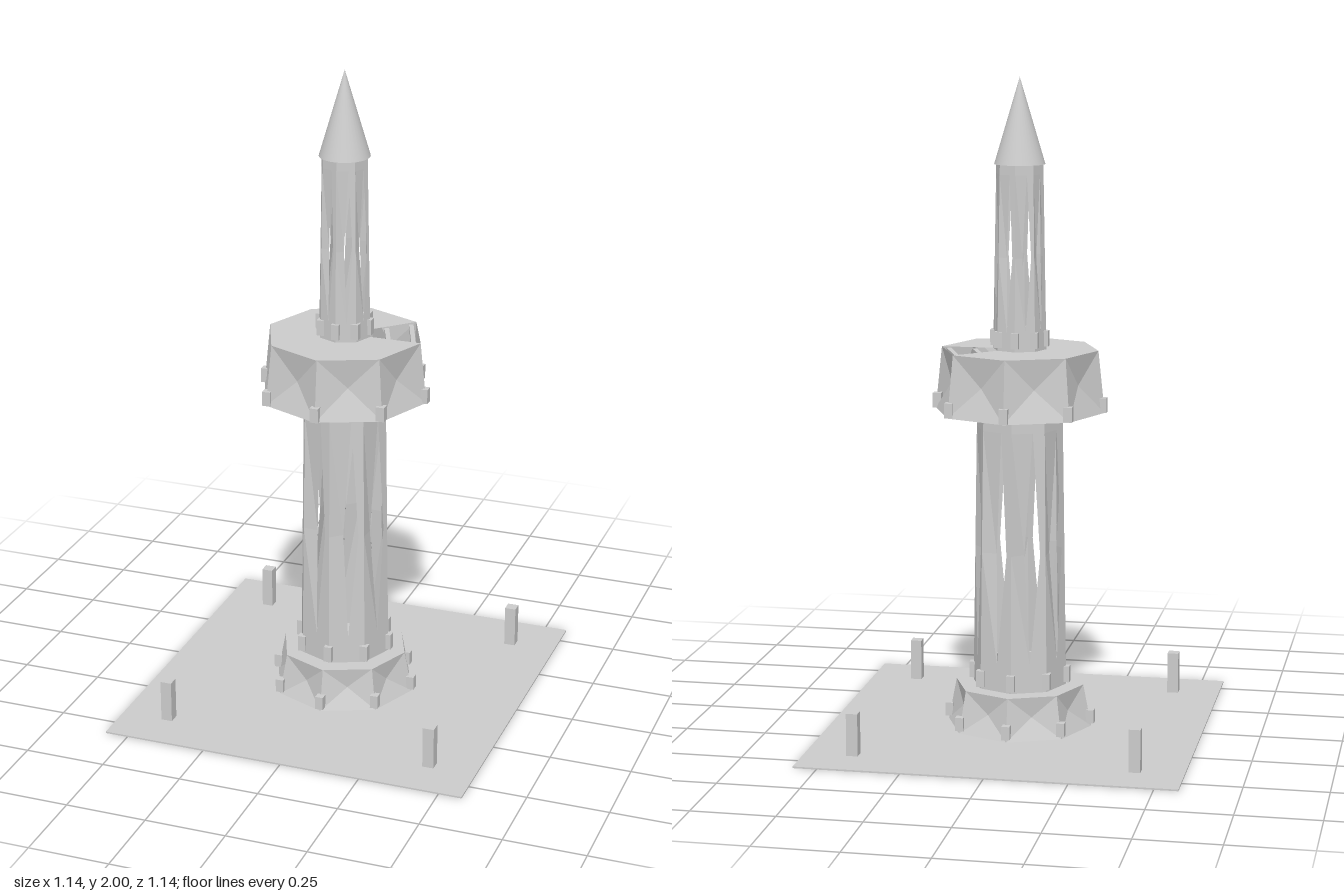
import * as THREE from 'three';

const SIDES = 8;

export function createModel() {
  const model = new THREE.Group();
  model.name = 'tower';
  const stone = new THREE.MeshStandardMaterial({ color: 0xcccccc, side: THREE.DoubleSide });
  stone.name = 'grey stone';

  const add = (name, geometry, x = 0, y = 0, z = 0) => {
    const mesh = new THREE.Mesh(geometry, stone);
    mesh.name = name;
    mesh.position.set(x, y, z);
    model.add(mesh);
    return mesh;
  };

  // Octagon corner i at radius r and height y
  const corner = (i, r, y) => {
    const a = (i / SIDES) * Math.PI * 2;
    return new THREE.Vector3(Math.cos(a) * r, y, Math.sin(a) * r);
  };

  // Flat-shaded geometry from a list of triangles
  const facets = (tris) => {
    const g = new THREE.BufferGeometry().setFromPoints(tris.flat());
    g.computeVertexNormals();
    return g;
  };

  // Octagonal plate, optionally missing one wedge
  const plate = (name, r, y, missing = -1) => {
    const tris = [];
    for (let i = 0; i < SIDES; i++) {
      if (i === missing) continue;
      tris.push([new THREE.Vector3(0, y, 0), corner(i + 1, r, y), corner(i, r, y)]);
    }
    add(name, facets(tris));
  };

  // Wall of eight panels, each dented at its centre
  const dentedWall = (name, r0, y0, r1, y1, dent, open = -1) => {
    const tris = [];
    for (let i = 0; i < SIDES; i++) {
      const a = corner(i, r0, y0), b = corner(i + 1, r0, y0);
      const c = corner(i + 1, r1, y1), d = corner(i, r1, y1);
      const m = a.clone().add(b).add(c).add(d).multiplyScalar(0.25);
      m.x *= 1 - dent;
      m.z *= 1 - dent;
      tris.push([b, a, m], [d, c, m], [a, d, m]);
      if (i !== open) tris.push([c, b, m]);
    }
    add(name, facets(tris));
  };

  // Shaft of eight faces, each with a tall pointed slot and a folded-in edge
  const slottedShaft = (name, r0, y0, r1, y1) => {
    const tris = [];
    // height fraction, slot start, slot end across the face
    const rows = [[0, 0.5, 0.5], [0.1, 0.46, 0.46], [0.5, 0.16, 0.6], [0.94, 0.36, 0.36], [1, 0.4, 0.4]];
    for (let i = 0; i < SIDES; i++) {
      const points = rows.map(([f, s, e]) => {
        const r = THREE.MathUtils.lerp(r0, r1, f), y = THREE.MathUtils.lerp(y0, y1, f);
        const p = corner(i, r, y), q = corner(i + 1, r, y);
        const left = p.clone().lerp(q, s), right = p.clone().lerp(q, e);
        if (e > s) {
          right.x *= 0.88;
          right.z *= 0.88;
        }
        return [p, left, right, q];
      });
      for (let k = 0; k < rows.length - 1; k++) {
        const lo = points[k], hi = points[k + 1];
        for (const j of [0, 2]) {
          tris.push([lo[j], hi[j], hi[j + 1]], [lo[j], hi[j + 1], lo[j + 1]]);
        }
      }
    }
    add(name, facets(tris));
  };

  // Ring of small blocks at the octagon corners
  const blocks = (name, r, y, size, height) => {
    const g = new THREE.BoxGeometry(size, height, size);
    for (let i = 0; i < SIDES; i++) {
      const p = corner(i, r, y + height / 2);
      add(name, g, p.x, p.y, p.z);
    }
  };

  // Ground slab and corner posts
  add('groundSlab', new THREE.BoxGeometry(1.144, 0.005, 1.144), 0, 0.0025, 0);
  const post = new THREE.BoxGeometry(0.035, 0.135, 0.035);
  for (const x of [-0.425, 0.425]) {
    for (const z of [-0.425, 0.425]) add('cornerPost', post, x, 0.0675, z);
  }

  // Base drum
  dentedWall('baseWall', 0.225, 0.005, 0.2, 0.135, 0.1);
  plate('baseTop', 0.2, 0.135);
  blocks('baseBlock', 0.222, 0.015, 0.025, 0.042);

  // Main shaft
  slottedShaft('mainShaft', 0.146, 0.135, 0.133, 0.99);
  blocks('shaftBlock', 0.145, 0.143, 0.025, 0.05);

  // Balcony with one open wedge in its top
  plate('balconyFloor', 0.262, 0.99);
  dentedWall('balconyWall', 0.262, 0.99, 0.242, 1.18, 0.1, 7);
  plate('balconyTop', 0.242, 1.18, 7);
  blocks('balconyBlock', 0.256, 0.992, 0.026, 0.045);

  // Slats across the open wedge
  for (const [x0, z0, x1, z1] of [[0.1, -0.1, 0.14, 0], [0.16, -0.155, 0.22, 0]]) {
    const length = Math.hypot(x1 - x0, z1 - z0);
    const slat = add('wedgeSlat', new THREE.BoxGeometry(length, 0.012, 0.014), (x0 + x1) / 2, 1.17, (z0 + z1) / 2);
    slat.rotation.y = -Math.atan2(z1 - z0, x1 - x0);
  }

  // Upper shaft and spire
  slottedShaft('upperShaft', 0.082, 1.18, 0.072, 1.745);
  blocks('upperBlock', 0.077, 1.19, 0.024, 0.048);
  add('spire', new THREE.ConeGeometry(0.077, 0.26, 32), 0, 1.87, 0);

  return model;
}
